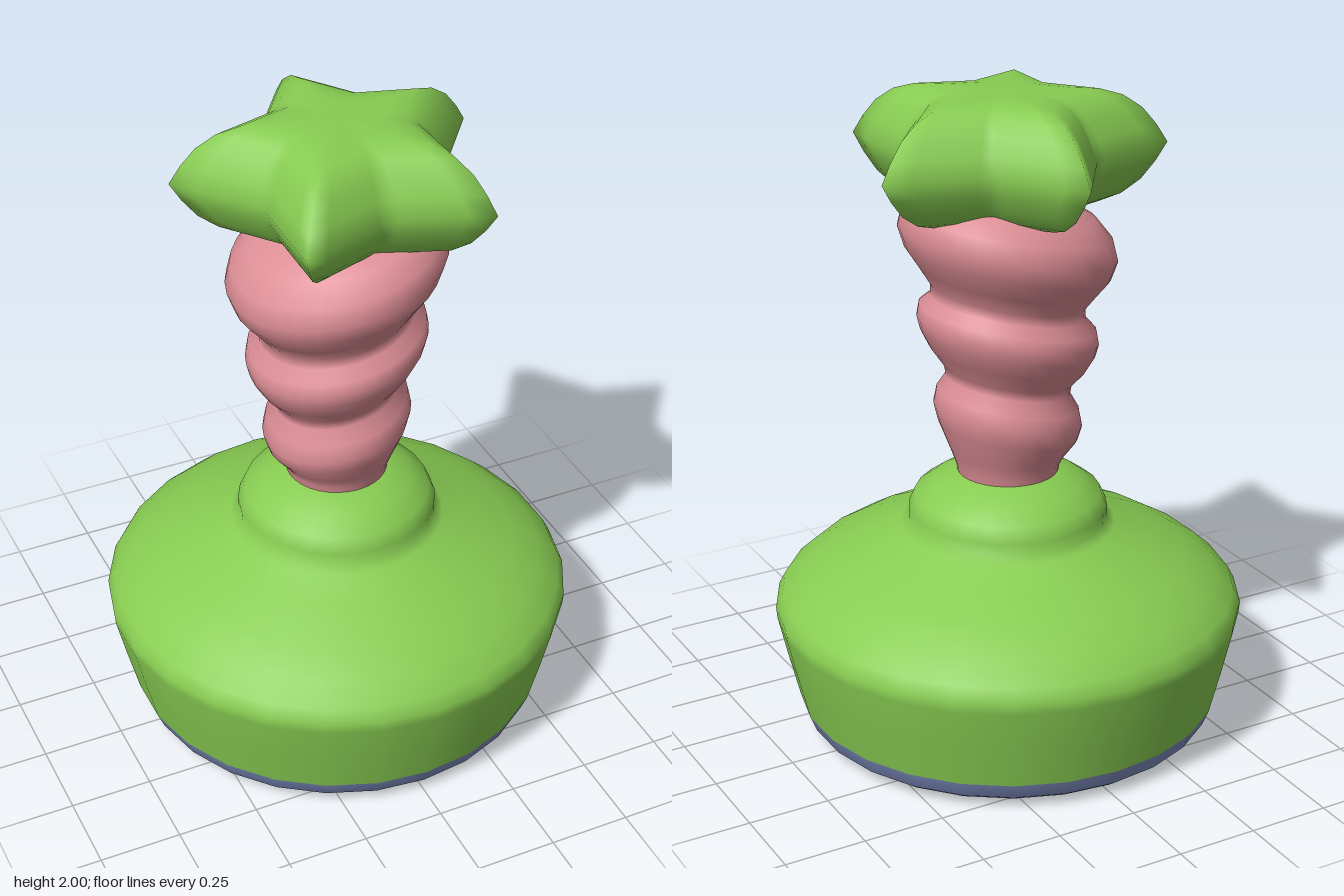
import * as THREE from 'three';
import { mergeVertices } from 'three/addons/utils/BufferGeometryUtils.js';

const green = new THREE.MeshStandardMaterial({ color: 0x88cc52 });
const pink = new THREE.MeshStandardMaterial({ color: 0xdd8e96 });
const blue = new THREE.MeshStandardMaterial({ color: 0x7f8ec0 });

// Turned shape from [radius, height] pairs, listed bottom to top
function turned(profile, segments) {
  return new THREE.LatheGeometry(profile.map(([r, y]) => new THREE.Vector2(r, y)), segments);
}

// Move every vertex by a rule, then weld the seam and smooth the normals
function deform(geometry, rule) {
  const pos = geometry.attributes.position;
  const v = new THREE.Vector3();
  for (let i = 0; i < pos.count; i++) {
    v.fromBufferAttribute(pos, i);
    rule(v);
    pos.setXYZ(i, v.x, v.y, v.z);
  }
  geometry.deleteAttribute('normal');
  geometry.deleteAttribute('uv');
  const welded = mergeVertices(geometry, 1e-5);
  welded.computeVertexNormals();
  return welded;
}

// Radius of a five-pointed outline at an angle measured from a tip
function starRadius(angle, outer, inner) {
  const step = Math.PI / 5;
  let a = Math.abs(angle) % (2 * step);
  if (a > step) a = 2 * step - a;
  return outer * inner * Math.sin(step) /
    (outer * Math.sin(a) + inner * Math.sin(step - a));
}

export function createModel() {
  const model = new THREE.Group();
  const add = (name, geometry, material) => {
    const mesh = new THREE.Mesh(geometry, material);
    mesh.name = name;
    model.add(mesh);
    return mesh;
  };

  // Heavy round base with a small collar
  add('base', turned([
    [0.655, 0.09], [0.69, 0.235], [0.718, 0.36], [0.721, 0.395], [0.7, 0.435],
    [0.64, 0.49], [0.55, 0.545], [0.43, 0.6], [0.33, 0.645], [0.303, 0.665],
    [0.305, 0.7], [0.285, 0.745], [0.23, 0.785], [0.16, 0.82], [0.1, 0.825],
  ], 26), green);

  // Rim under the base
  add('baseRim', turned([
    [0, 0.008], [0.45, 0.008], [0.55, 0.013], [0.615, 0.025], [0.635, 0.04], [0.655, 0.09],
  ], 26), blue);

  // Underside disc with a toothed edge
  const disc = new THREE.Shape();
  const teeth = 26;
  for (let i = 0; i < teeth * 2; i++) {
    const a = (i / teeth) * Math.PI;
    const r = i % 2 ? 0.485 : 0.53;
    disc[i ? 'lineTo' : 'moveTo'](r * Math.cos(a), r * Math.sin(a));
  }
  const underside = add('underside', new THREE.ShapeGeometry(disc), green);
  underside.rotation.x = Math.PI / 2;

  // Column of three swelling bulges, leaning up towards +x
  const column = turned([
    [0.15, 0.78], [0.157, 0.84], [0.175, 0.88], [0.212, 0.95], [0.225, 1.0],
    [0.215, 1.05], [0.187, 1.095], [0.192, 1.125], [0.235, 1.18], [0.262, 1.23],
    [0.272, 1.27], [0.265, 1.31], [0.232, 1.342], [0.23, 1.375], [0.265, 1.425],
    [0.305, 1.48], [0.325, 1.54], [0.31, 1.6], [0.26, 1.655], [0.18, 1.69], [0, 1.7],
  ], 32);
  add('column', deform(column, v => {
    v.y += 0.2 * v.x * THREE.MathUtils.smoothstep(v.y, 0.82, 0.98);
  }), pink);

  // Puffy star on top, one tip pointing back
  const half = [[0.93, 0.055], [0.84, 0.108], [0.72, 0.148], [0.58, 0.169], [0.4, 0.176], [0.2, 0.178], [0, 0.178]];
  const star = turned([
    ...half.map(([s, h]) => [s, -h]).reverse(), [1, 0], ...half,
  ], 60);
  const starMesh = add('star', deform(star, v => {
    const k = starRadius(Math.atan2(v.x, -v.z), 0.49, 0.295);
    v.x *= k;
    v.z *= k;
  }), green);
  starMesh.position.set(0.02, 1.82, -0.007);

  return model;
}
